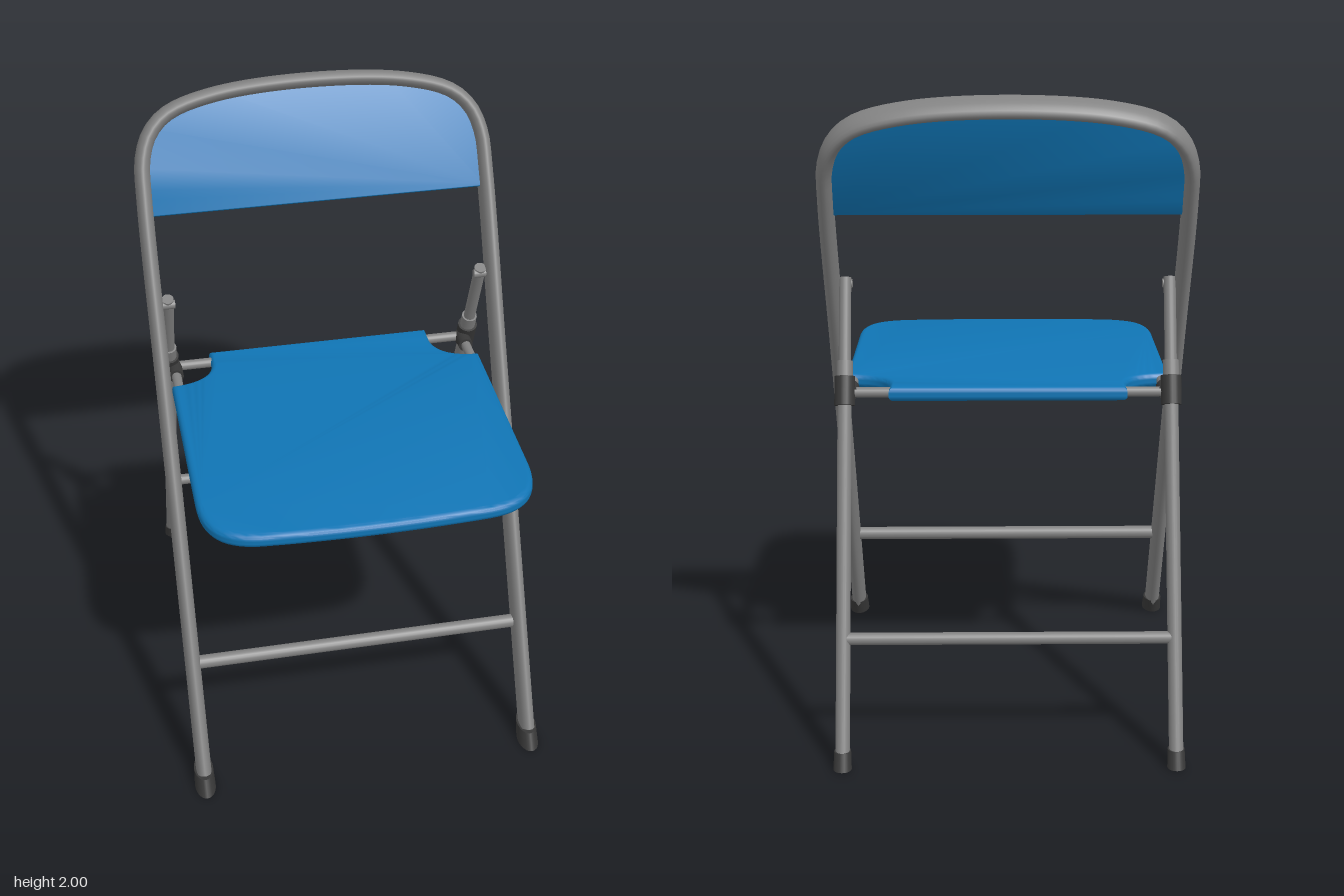
import * as THREE from 'three';
import { toCreasedNormals } from 'three/addons/utils/BufferGeometryUtils.js';

const steel = new THREE.MeshStandardMaterial({ color: 0x828282 });
steel.name = 'grey steel';
const blue = new THREE.MeshStandardMaterial({ color: 0x1075b5 });
blue.name = 'blue panel';
const rubber = new THREE.MeshStandardMaterial({ color: 0x383838 });
rubber.name = 'dark rubber';

const FRONT_Z = 0.62, FRONT_SLOPE = 0.54, FRONT_X = 0.547;
const REAR_Z = -0.67, REAR_SLOPE = 0.381, REAR_X = 0.507;
const frontAt = (y) => FRONT_Z - FRONT_SLOPE * y;
const rearAt = (y) => REAR_Z + REAR_SLOPE * y;

function addMesh(parent, name, geometry, material) {
  const mesh = new THREE.Mesh(geometry, material);
  mesh.name = name;
  parent.add(mesh);
  return mesh;
}

// Round bar between two points
function bar(parent, name, a, b, radius, material) {
  const from = new THREE.Vector3(...a), to = new THREE.Vector3(...b);
  const dir = to.clone().sub(from);
  const mesh = addMesh(parent, name, new THREE.CylinderGeometry(radius, radius, dir.length(), 20), material);
  mesh.position.copy(from).add(to).multiplyScalar(0.5);
  mesh.quaternion.setFromUnitVectors(new THREE.Vector3(0, 1, 0), dir.normalize());
  return mesh;
}

// Rubber foot with a level sole, sheared to follow its leg
function foot(parent, name, x, z, rx, rz, slope) {
  const geometry = new THREE.CylinderGeometry(0.92, 1, 0.052, 24);
  geometry.translate(0, 0.026, 0);
  geometry.scale(rx, 1, rz);
  geometry.applyMatrix4(new THREE.Matrix4().set(1, 0, 0, 0, 0, 1, 0, 0, 0, slope, 1, 0, 0, 0, 0, 1));
  addMesh(parent, name, geometry, rubber).position.set(x, 0, z);
}

function plate(shape, depth, bevel) {
  const geometry = new THREE.ExtrudeGeometry(shape, {
    depth: depth - 2 * bevel, bevelThickness: bevel, bevelSize: bevel, bevelOffset: -bevel,
    bevelSegments: 4, curveSegments: 16,
  });
  geometry.translate(0, 0, bevel - depth / 2);
  return toCreasedNormals(geometry, 0.7);
}

export function createModel() {
  const model = new THREE.Group();
  model.name = 'foldingChair';
  const chair = new THREE.Group();
  chair.name = 'chair';
  chair.rotation.y = -0.38;
  chair.position.set(0.01, 0, 0.004);
  model.add(chair);

  // Front legs and back hoop: one flattened tube bent in a leaning plane
  const lean = Math.atan(FRONT_SLOPE), k = 1 / Math.cos(lean);
  const hoop = new THREE.Group();
  hoop.name = 'frontFrame';
  hoop.position.z = FRONT_Z;
  hoop.rotation.x = -lean;
  chair.add(hoop);
  const half = [[FRONT_X, 0.04], [FRONT_X, 0.6], [FRONT_X, 1.2], [FRONT_X, 1.68],
    [0.54, 1.79], [0.51, 1.86], [0.45, 1.91], [0.3, 1.95]];
  const profile = [...half.map(([x, y]) => [-x, y]), [0, 1.968], ...half.slice().reverse()];
  const path = new THREE.CatmullRomCurve3(profile.map(([x, y]) => new THREE.Vector3(x, y * k, 0)));
  const tube = new THREE.TubeGeometry(path, 160, 0.025, 20);
  tube.scale(1, 1, 2);
  addMesh(hoop, 'frameTube', tube, steel);

  // Backrest panel filling the top of the hoop
  const low = 1.635 * k, edge = FRONT_X - 0.005;
  const rim = path.getSpacedPoints(160).filter((p) => p.y > low + 0.02);
  const backShape = new THREE.Shape([
    new THREE.Vector2(-edge, low),
    ...rim.map((p) => new THREE.Vector2(p.x, p.y)),
    new THREE.Vector2(edge, low),
  ].reverse());
  addMesh(hoop, 'backrest', plate(backShape, 0.034, 0.006), blue);

  // Seat with rounded front corners and notched rear corners
  const w = 0.513, seat = new THREE.Shape();
  seat.moveTo(-0.37, 0.285);
  seat.lineTo(-0.37, 0.22);
  seat.quadraticCurveTo(-0.38, 0.12, -w, 0.115);
  seat.lineTo(-w, -0.48);
  seat.bezierCurveTo(-w, -0.62, -0.46, -0.685, -0.32, -0.69);
  seat.quadraticCurveTo(0, -0.71, 0.32, -0.69);
  seat.bezierCurveTo(0.46, -0.685, w, -0.62, w, -0.48);
  seat.lineTo(w, 0.115);
  seat.quadraticCurveTo(0.38, 0.12, 0.37, 0.22);
  seat.lineTo(0.37, 0.285);
  seat.closePath();
  const seatGeometry = plate(seat, 0.046, 0.018);
  seatGeometry.rotateX(-Math.PI / 2);
  addMesh(chair, 'seat', seatGeometry, blue).position.y = 1.07;

  for (const s of [-1, 1]) {
    const side = s > 0 ? 'left' : 'right';
    const onLeg = (y) => [s * REAR_X, y, rearAt(y)];

    // Rear leg, pivot bolt and feet
    bar(chair, side + 'RearLeg', onLeg(0.03), onLeg(1.08), 0.022, steel);
    bar(chair, side + 'RearLegTop', onLeg(1.08), onLeg(1.41), 0.019, steel);
    bar(chair, side + 'PivotBolt', [s * 0.485, 1.39, frontAt(1.39)], [s * FRONT_X, 1.39, frontAt(1.39)], 0.014, steel);
    foot(chair, side + 'FrontFoot', s * FRONT_X, FRONT_Z, 0.034, 0.06, -FRONT_SLOPE);
    foot(chair, side + 'RearFoot', s * REAR_X, REAR_Z, 0.028, 0.028, REAR_SLOPE);

    // Seat hinge: clamp and collar on the leg, rods into the seat
    bar(chair, side + 'HingeClamp', onLeg(1.035), onLeg(1.12), 0.032, rubber);
    bar(chair, side + 'HingeCollar', onLeg(1.12), onLeg(1.165), 0.025, steel);
    bar(chair, side + 'HingeSideRod', [s * 0.49, 1.07, -0.1], [s * 0.49, 1.07, -0.25], 0.016, steel);
    bar(chair, side + 'HingeSleeve', [s * 0.49, 1.07, -0.19], [s * 0.49, 1.07, -0.26], 0.024, rubber);
    bar(chair, side + 'HingeCrossRod', [s * 0.35, 1.07, -0.25], [s * 0.5, 1.07, -0.25], 0.016, steel);
  }

  // Cross braces
  const y = 0.365;
  bar(chair, 'frontBrace', [-FRONT_X, y, frontAt(y)], [FRONT_X, y, frontAt(y)], 0.022, steel);
  bar(chair, 'rearBrace', [-REAR_X, y, rearAt(y)], [REAR_X, y, rearAt(y)], 0.019, steel);

  return model;
}
